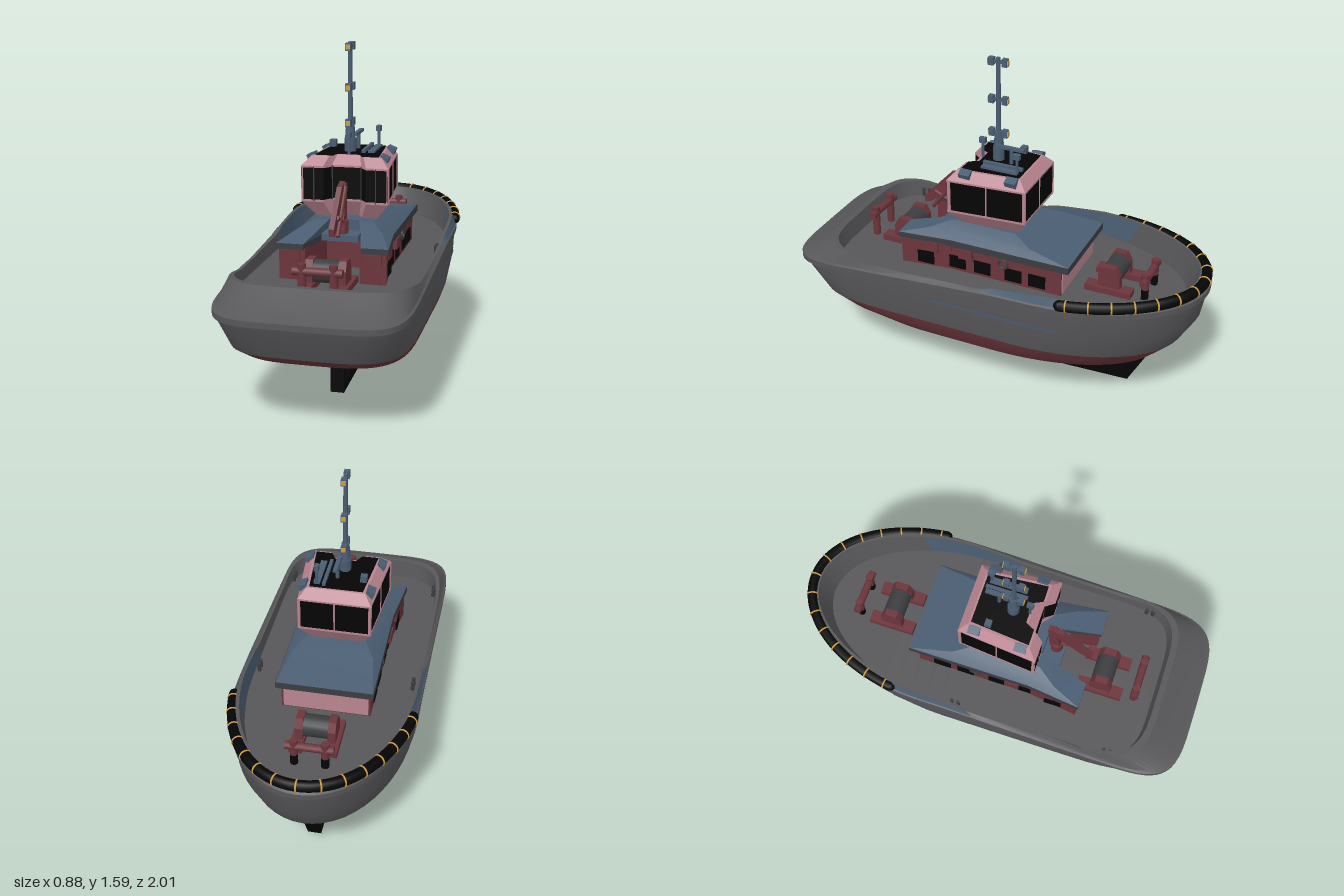
import * as THREE from 'three';
import { toCreasedNormals } from 'three/addons/utils/BufferGeometryUtils.js';

const mat = (name, color) => Object.assign(new THREE.MeshStandardMaterial({ color }), { name });

export function createModel() {
  const root = new THREE.Group();
  root.name = 'tugboat';
  const grey = mat('hull grey', 0x57575a), red = mat('oxide red', 0x6b353b), blue = mat('slate blue', 0x4a5d72),
    pink = mat('pale pink', 0xb98590), black = mat('black', 0x050505), orange = mat('amber', 0xd09a40),
    dark = mat('dark grey', 0x3c3d40);

  // helpers
  const add = (name, geo, m, x = 0, y = 0, z = 0) => {
    const mesh = new THREE.Mesh(geo, m);
    mesh.name = name;
    mesh.position.set(x, y, z);
    root.add(mesh);
    return mesh;
  };
  const box = (name, m, w, h, d, x, y, z) => add(name, new THREE.BoxGeometry(w, h, d), m, x, y, z);
  const rod = (name, m, a, b, r, r2 = r, sides = 10) => {
    const A = new THREE.Vector3(...a), B = new THREE.Vector3(...b), dir = B.clone().sub(A);
    const mesh = add(name, new THREE.CylinderGeometry(r2, r, dir.length(), sides), m);
    mesh.position.copy(A).add(B).multiplyScalar(0.5);
    mesh.quaternion.setFromUnitVectors(new THREE.Vector3(0, 1, 0), dir.normalize());
    return mesh;
  };
  const build = (pos, idx) => {
    const g = new THREE.BufferGeometry();
    g.setAttribute('position', new THREE.Float32BufferAttribute(pos, 3));
    g.setIndex(idx);
    return toCreasedNormals(g, 0.45);
  };
  const interp = (table) => (z) => {
    for (let i = 1; i < table.length; i++) {
      const [z0, y0] = table[i - 1], [z1, y1] = table[i];
      if (z <= z1) return y0 + (y1 - y0) * Math.max(0, (z - z0) / (z1 - z0));
    }
    return table[table.length - 1][1];
  };
  // side silhouette (z, y) extruded across x
  const slab = (name, m, pts, width, x, hole) => {
    const s = new THREE.Shape(pts.map((p) => new THREE.Vector2(...p)));
    if (hole) s.holes.push(new THREE.Path(hole.map((p) => new THREE.Vector2(...p))));
    const g = new THREE.ExtrudeGeometry(s, { depth: width, bevelEnabled: false });
    g.translate(0, 0, -width / 2).rotateY(-Math.PI / 2);
    return add(name, g, m, x);
  };
  // plan outlines stacked in y, capped at both ends; points run from +x towards +z
  const loft = (name, m, sections) => {
    const pos = [], idx = [], n = sections[0][1].length, rows = sections.length;
    for (const [y, pts] of sections) for (const [x, z] of pts) pos.push(x, y, z);
    for (const [y, pts] of [sections[0], sections[rows - 1]]) {
      const mid = (k) => (Math.min(...pts.map((p) => p[k])) + Math.max(...pts.map((p) => p[k]))) / 2;
      pos.push(mid(0), y, mid(1));
    }
    for (let j = 0; j < n; j++) {
      const k = (j + 1) % n, t = (rows - 1) * n;
      for (let i = 0; i < rows - 1; i++) idx.push(i * n + j, i * n + j + n, i * n + k + n, i * n + j, i * n + k + n, i * n + k);
      idx.push(rows * n, j, k, rows * n + 1, t + k, t + j);
    }
    return add(name, build(pos, idx), m);
  };

  // hull outline: squared stern, elliptical bow, straight sides
  const N = 14, S = 14;
  const outline = ({ y, w, zs, zb, n = 5 }) => {
    const half = [], cs = zs - 0.5, cb = zb + 0.7;
    for (let i = N; i > 0; i--) {
      const t = i / N * Math.PI / 2;
      half.push([w * Math.cos(t), cb - 0.7 * Math.sin(t)]);
    }
    for (let i = 0; i <= S; i++) half.push([w, cb + (cs - cb) * i / S]);
    for (let i = 1; i <= N; i++) {
      const t = i / N * Math.PI / 2;
      half.push([w * Math.max(0, Math.cos(t)) ** (2 / n), cs + 0.5 * Math.sin(t) ** (2 / n)]);
    }
    const loop = [...half, ...half.slice(1, -1).reverse().map(([x, z]) => [-x, z])];
    return loop.map(([x, z]) => [x, typeof y === 'number' ? y : y(z), z]);
  };
  const band = (name, m, levels, keep = () => true) => {
    const rings = levels.map(outline), n = rings[0].length, idx = [];
    for (let i = 0; i < rings.length - 1; i++) for (let j = 0; j < n; j++) {
      const k = (j + 1) % n, a = i * n + j, b = i * n + k;
      if (keep(rings[i][j][2]) && keep(rings[i][k][2])) idx.push(a, a + n, b + n, a, b + n, b);
    }
    return add(name, build(rings.flat(2), idx), m);
  };
  const deckY = 0.557;
  const sheer = interp([[-1, 0.64], [-0.1, 0.615], [1, 0.535]]);
  const top = interp([[-1, 0.69], [-0.35, 0.677], [-0.1, 0.653], [-0.04, 0.632], [0.5, 0.608], [0.66, 0.635], [0.8, 0.645], [1, 0.645]]);
  const up = (d) => (z) => sheer(z) + d;
  const chine = { y: 0.2, w: 0.24, zs: 0.4, zb: -0.73, n: 3 };
  const water = { y: 0.36, w: 0.402, zs: 0.905, zb: -0.89, n: 4 };
  const side = { y: 0.49, w: 0.422, zs: 0.965, zb: -0.965 };
  const rim = { y: top, w: 0.414, zs: 0.83, zb: -0.965 };
  const deckEdge = { y: deckY, w: 0.396, zs: 0.785, zb: -0.89 };
  band('bottom', black, [{ y: 0.175, w: 0, zs: 0.36, zb: -0.7, n: 3 }, chine]);
  band('lowerHull', red, [chine, { y: 0.255, w: 0.35, zs: 0.68, zb: -0.785, n: 3.2 }, { y: 0.31, w: 0.385, zs: 0.83, zb: -0.84, n: 3.6 }, water]);
  band('upperHull', grey, [water, side,
    { y: up(-0.022), w: 0.425, zs: 0.973, zb: -0.988 }, { y: up(-0.016), w: 0.434, zs: 1, zb: -1 },
    { y: up(0.01), w: 0.434, zs: 1, zb: -1 }, { y: up(0.016), w: 0.426, zs: 0.975, zb: -0.99 }, rim]);
  band('bulwarkInside', grey, [rim, { y: top, w: 0.4, zs: 0.8, zb: -0.945 }, deckEdge]);
  band('deck', grey, [deckEdge, { y: deckY, w: 0, zs: 0.78, zb: -0.88 }]);
  band('bulwarkPanel', blue, [{ y: up(0.017), w: 0.429, zs: 0.978, zb: -0.993 }, { ...rim, w: 0.417, zb: -0.968 }], (z) => z > -0.46 && z < 0);
  band('sideStripe', blue, [{ ...side, y: 0.5, w: 0.4255, zb: -0.972 }, { ...side, y: 0.514, w: 0.4265, zb: -0.977 }], (z) => z > -0.47 && z < 0.22);
  band('innerBowPanel', blue, [{ y: top, w: 0.398, zs: 0.79, zb: -0.94 }, { ...deckEdge, y: deckY + 0.005, w: 0.394, zb: -0.887 }], (z) => z < -0.03 && z > -0.6);

  // skeg
  slab('skeg', black, [[0.37, 0], [-0.65, 0.04], [-0.74, 0.21], [0.36, 0.21]], 0.064, 0,
    [[0.32, 0.05], [0.32, 0.11], [0.3, 0.12], [0.23, 0.12], [0.23, 0.05]]);

  // bow fender with amber bindings
  const fenderY = interp([[-1, 0.68], [-0.4, 0.652]]);
  const path = [];
  for (let i = -24; i <= 24; i++) {
    const t = i / 24 * 1.36, z = -0.29 - 0.685 * Math.cos(t);
    path.push(new THREE.Vector3(0.424 * Math.sin(t), fenderY(z), z));
  }
  const curve = new THREE.CatmullRomCurve3(path);
  add('bowFender', new THREE.TubeGeometry(curve, 64, 0.026, 10), black);
  for (const u of [0, 1]) add('fenderEnd', new THREE.SphereGeometry(0.026, 10, 8), black, ...curve.getPointAt(u).toArray());
  for (let i = 0; i < 15; i++) {
    const c = add('fenderBinding', new THREE.TorusGeometry(0.0255, 0.0045, 6, 16), orange);
    const u = (i + 0.3) / 14.6;
    c.position.copy(curve.getPointAt(u));
    c.lookAt(c.position.clone().add(curve.getTangentAt(u)));
  }

  // deckhouse with a recess facing the stern
  const rect = (x0, x1, z0, z1) => [[x1, z0], [x1, z1], [x0, z1], [x0, z0]];
  box('deckhouse', red, 0.42, 0.15, 0.56, 0, 0.63, -0.08);
  box('deckhouseBackWall', pink, 0.4, 0.13, 0.006, 0, 0.63, -0.362);
  loft('roofEdge', dark, [[0.693, rect(-0.228, 0.228, -0.4, 0.22)], [0.727, rect(-0.228, 0.228, -0.4, 0.22)]]);
  loft('houseRoof', blue, [[0.727, rect(-0.226, 0.226, -0.4, 0.22)], [0.76, rect(-0.19, 0.19, -0.19, 0.22)], [0.79, rect(-0.14, 0.14, -0.1, 0.22)]]);
  for (const s of [-1, 1]) {
    const wing = (inner0, inner1, outer0, outer1, z) => {
      const p = [[outer0, 0.2], [outer1, z], [inner1, z], [inner0, 0.2]];
      return s > 0 ? p : p.reverse().map(([x, zz]) => [-x, zz]);
    };
    loft('houseWing', red, [[0.56, wing(0.09, 0.125, 0.212, 0.245, 0.45)], [0.705, wing(0.09, 0.125, 0.212, 0.245, 0.45)]]);
    loft('wingEdge', dark, [[0.7, wing(0.08, 0.13, 0.228, 0.257, 0.46)], [0.727, wing(0.08, 0.13, 0.228, 0.257, 0.46)]]);
    loft('wingRoof', blue, [[0.727, wing(0.08, 0.13, 0.226, 0.255, 0.46)], [0.757, wing(0.07, 0.1, 0.19, 0.2, 0.32)], [0.788, wing(0.06, 0.07, 0.14, 0.14, 0.23)]]);
    box('wingLocker', red, 0.075, 0.05, 0.012, s * 0.185, 0.672, 0.452);
    for (const z of [-0.24, -0.12, 0.04, 0.17, 0.33]) box('sideWindow', black, 0.008, 0.065, 0.085, s * (z > 0.2 ? 0.231 : 0.211), 0.605, z);
    for (const z of [0.12, 0.3]) box('sideLocker', red, 0.02, 0.05, 0.07, s * 0.224, 0.667, z);
    const ring = add('lifeRing', new THREE.TorusGeometry(0.023, 0.007, 6, 16), dark, s * 0.217, 0.658, -0.07);
    ring.rotation.y = Math.PI / 2;
    for (const z of [-0.12, 0.65]) for (const d of [-0.016, 0.016])
      add('bollard', new THREE.CylinderGeometry(0.009, 0.009, 0.045, 8), dark, s * 0.375, deckY + 0.0225, z + d);
  }
  box('recessFloor', blue, 0.17, 0.03, 0.1, 0, 0.725, 0.265);

  // wheelhouse with a stepped-back centre window
  const plan = (k, dz = 0) => {
    const half = [[0.17 * k, -0.16 + dz], [0.204 * k, 0.222 - dz], [0.1 * k, 0.222 - dz], [0.068 * k, 0.178 - dz]];
    return [...half, ...half.slice().reverse().map(([x, z]) => [-x, z])];
  };
  loft('wheelhouseBase', pink, [[0.785, plan(0.68, 0.055)], [0.866, plan(1)], [0.876, plan(1)]]);
  loft('wheelhouseWindows', black, [[0.876, plan(0.99, 0.002)], [1.026, plan(0.99, 0.002)]]);
  loft('wheelhouseRoof', pink, [[1.025, plan(1)], [1.034, plan(1)], [1.076, plan(0.8, 0.04)]]);
  loft('roofTop', black, [[1.074, plan(0.73, 0.05)], [1.079, plan(0.73, 0.05)]]);
  const post = (x, z, r) => rod('windowPost', pink, [x, 0.87, z], [x, 1.03, z], r);
  for (const s of [-1, 1]) {
    post(s * 0.165, -0.153, 0.009);
    post(s * 0.198, 0.212, 0.009);
    post(s * 0.185, 0.03, 0.004);
    rod('frontDivider', dark, [s * 0.145, 0.87, 0.221], [s * 0.145, 1.03, 0.221], 0.003);
    rod('frontDivider', dark, [s * 0.068, 0.87, 0.178], [s * 0.068, 1.03, 0.178], 0.003);
  }
  post(0, -0.158, 0.004);

  // roof lamps, posts and radar
  for (const s of [-1, 1]) for (const z of [-0.085, 0.14]) {
    const lamp = box('floodlight', blue, 0.04, 0.032, 0.055, s * (z > 0 ? 0.17 : 0.155), 1.064, z);
    lamp.rotation.z = -s * 0.4;
  }
  box('roofRail', blue, 0.015, 0.02, 0.2, 0.06, 1.085, 0);
  box('roofHatch', blue, 0.03, 0.012, 0.18, 0.095, 1.083, 0);
  rod('ventPost', blue, [-0.115, 1.07, -0.03], [-0.115, 1.1, -0.03], 0.01);
  box('vent', blue, 0.03, 0.032, 0.03, -0.115, 1.098, -0.03);
  for (const [x, z] of [[0.095, -0.085], [0, 0.13]]) {
    rod('roofPost', blue, [x, 1.07, z], [x, 1.16, z], 0.007);
    box('roofBox', blue, 0.022, 0.026, 0.032, x, 1.167, z);
  }
  rod('radarPost', blue, [0.01, 1.07, -0.02], [0.01, 1.15, -0.02], 0.009);
  box('radarBar', blue, 0.02, 0.014, 0.14, 0.01, 1.156, -0.015);

  // mast
  const mx = -0.012, mz = 0.055;
  rod('mastBase', blue, [mx, 1.07, mz], [mx, 1.14, mz], 0.028);
  rod('mastTaper', blue, [mx, 1.14, mz], [mx, 1.225, mz], 0.025, 0.018);
  rod('mast', blue, [mx, 1.2, mz], [mx, 1.585, mz], 0.012, 0.01);
  for (const y of [1.215, 1.38, 1.565]) {
    box('mastArm', blue, 0.014, 0.012, 0.08, mx, y, mz);
    for (const s of [-1, 1]) {
      box('mastLamp', blue, 0.026, 0.036, 0.026, mx, y, mz + s * 0.034);
      box('lampGlass', orange, 0.02, 0.022, 0.006, mx, y, mz + s * 0.048);
    }
  }

  // folding crane
  rod('cranePedestal', red, [0, 0.7, 0.275], [0, 0.8, 0.27], 0.03);
  slab('craneColumn', red, [[0.3, 0.76], [0.24, 0.78], [0.225, 0.965], [0.255, 0.97]], 0.03, 0);
  slab('craneBoom', red, [[0.24, 0.975], [0.3, 0.96], [0.45, 0.8], [0.445, 0.765], [0.4, 0.785], [0.24, 0.935]], 0.024, -0.004);
  rod('craneRam', red, [0.006, 0.8, 0.3], [0.006, 0.84, 0.39], 0.011);
  rod('craneJib', red, [0.012, 0.95, 0.25], [0.012, 0.755, 0.4], 0.01);

  // towing winches and bitts
  for (const [z, bitt, foot] of [[0.525, 0.695, red], [-0.55, -0.72, black]]) {
    const y = deckY, h = z > 0 ? 0.155 : 0.135;
    for (const s of [-1, 1]) {
      box('winchFoot', red, 0.06, 0.03, 0.225, s * 0.08, y + 0.015, z);
      slab('winchCheek', red, [[z + 0.055, y], [z + 0.052, y + 0.09], [z + 0.03, y + 0.133], [z - 0.03, y + 0.133], [z - 0.052, y + 0.09], [z - 0.055, y]], 0.035, s * 0.075);
      rod('bittFoot', foot, [s * 0.07, y, bitt], [s * 0.07, y + 0.055, bitt], 0.018);
      rod('bittPost', red, [s * 0.07, y + 0.055, bitt], [s * 0.07, y + h, bitt], 0.019);
    }
    rod('winchDrum', dark, [-0.06, y + 0.075, z], [0.06, y + 0.075, z], 0.052, 0.052, 18);
    rod('bittBar', red, [-0.11, y + h - 0.035, bitt], [0.11, y + h - 0.035, bitt], 0.019);
  }
  return root;
}
